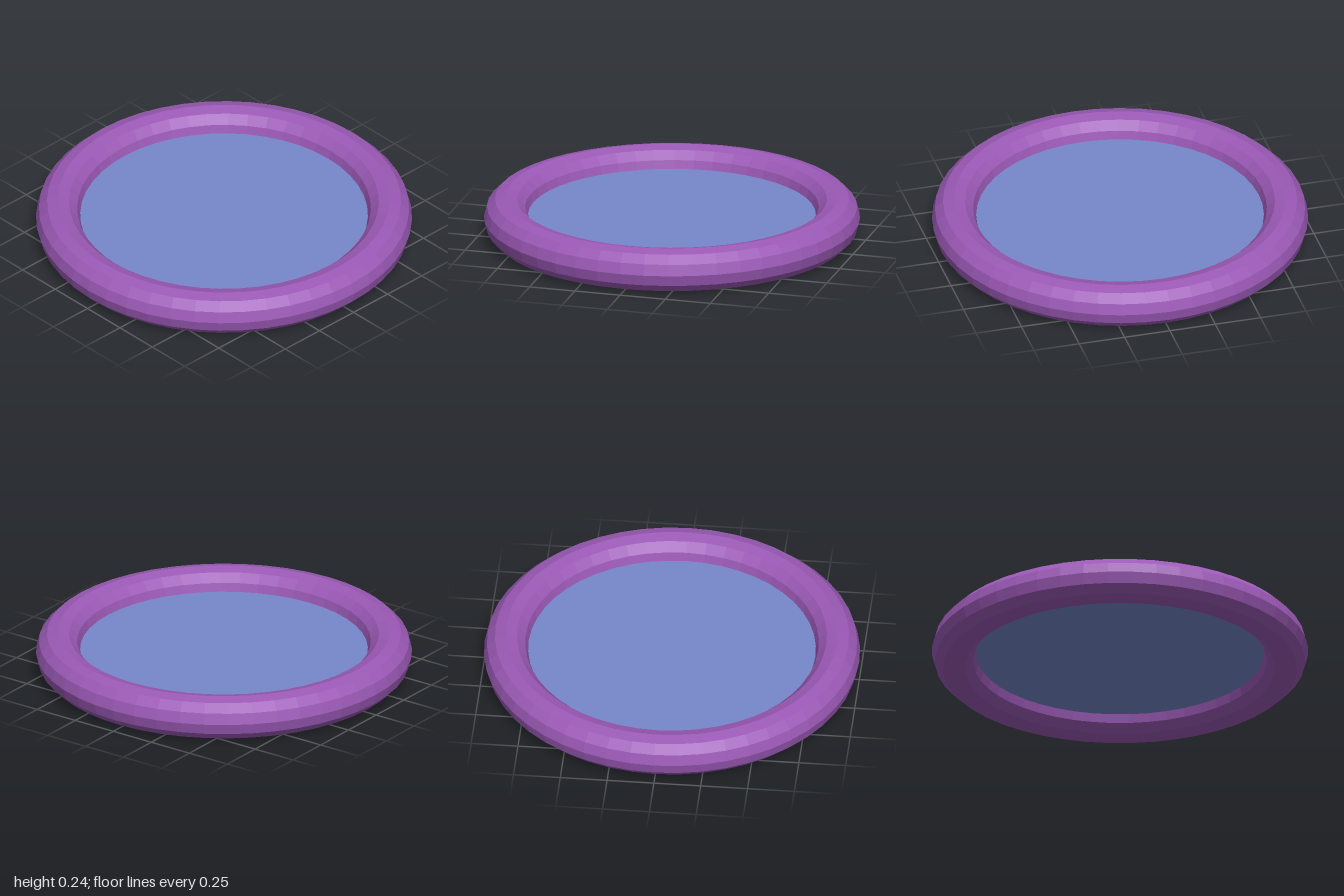
import * as THREE from 'three';

export function createModel() {
  const model = new THREE.Group();
  const tube = 0.1176;          // tube radius, also the height of the ring's centre
  const ringRadius = 1 - tube;

  // Faceted ring lying flat on the ground
  const ring = new THREE.Mesh(
    new THREE.TorusGeometry(ringRadius, tube, 12, 48).rotateX(-Math.PI / 2),
    new THREE.MeshStandardMaterial({ color: 0x9b59b6, flatShading: true })
  );
  ring.name = 'ring';
  ring.position.y = tube;

  // Thin disc filling the opening at mid height
  const disc = new THREE.Mesh(
    new THREE.CylinderGeometry(ringRadius - tube, ringRadius - tube, 0.03, 48),
    new THREE.MeshStandardMaterial({ color: 0x7788cc, flatShading: true })
  );
  disc.name = 'disc';
  disc.position.y = tube;

  model.add(ring, disc);
  return model;
}
